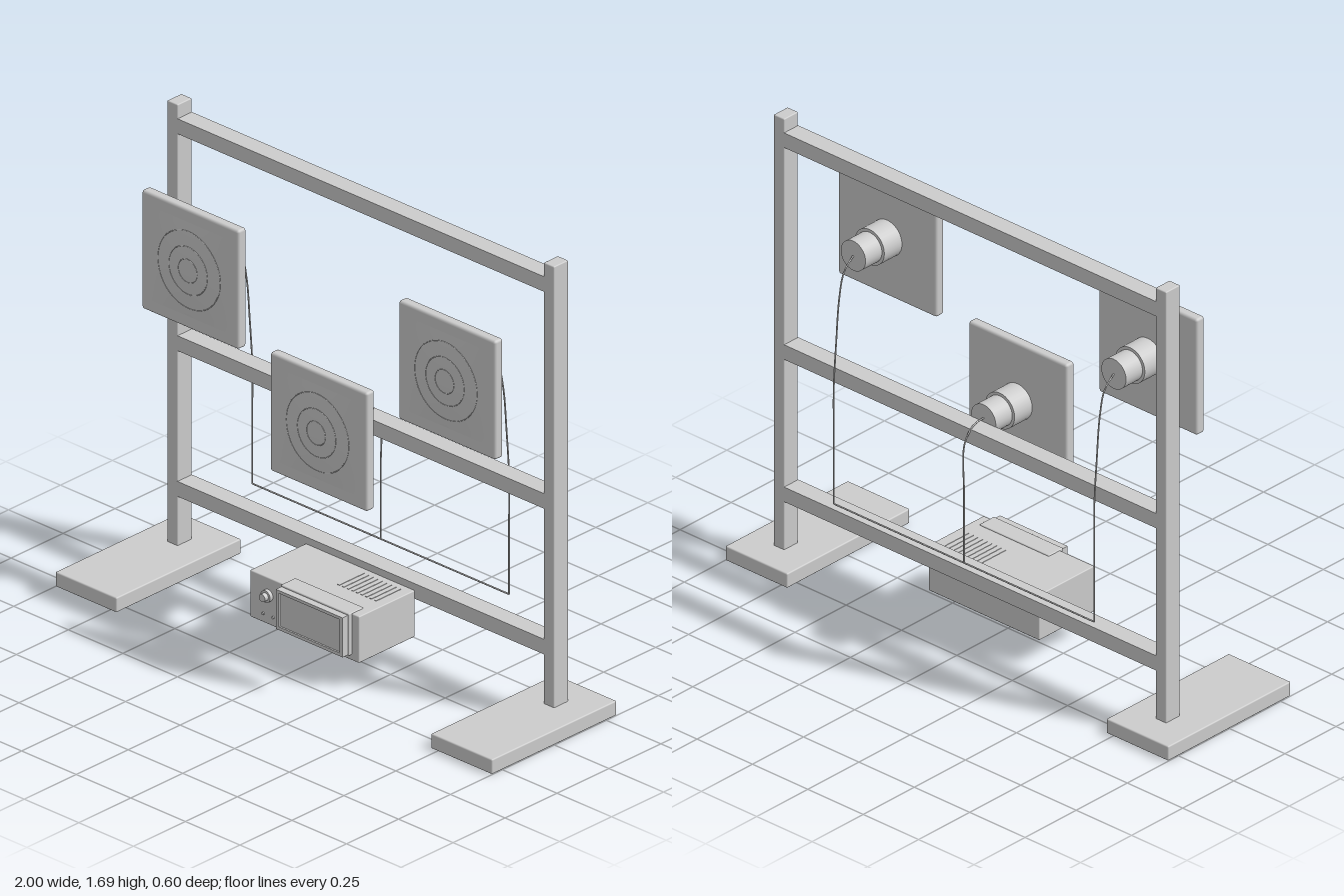
import * as THREE from 'three';
import { RoundedBoxGeometry } from 'three/addons/geometries/RoundedBoxGeometry.js';

const grey = new THREE.MeshStandardMaterial({ color: 0xcccccc });
grey.name = 'light grey';

function add(parent, name, geometry, x = 0, y = 0, z = 0) {
  const mesh = new THREE.Mesh(geometry, grey);
  mesh.name = name;
  mesh.position.set(x, y, z);
  parent.add(mesh);
  return mesh;
}

// Box given by its limits on each axis; optional rounded edges
function box(parent, name, [x0, x1], [y0, y1], [z0, z1], r = 0) {
  const s = [x1 - x0, y1 - y0, z1 - z0];
  const g = r ? new RoundedBoxGeometry(...s, 2, r) : new THREE.BoxGeometry(...s);
  return add(parent, name, g, (x0 + x1) / 2, (y0 + y1) / 2, (z0 + z1) / 2);
}

// Cylinder lying along z
function rod(parent, name, r, x, y, z0, z1) {
  const g = new THREE.CylinderGeometry(r, r, z1 - z0, 32).rotateX(Math.PI / 2);
  return add(parent, name, g, x, y, (z0 + z1) / 2);
}

// Shallow bulge of the grille
const HALF = 0.175;
const bulge = (x, y) => 0.012 * (1 - (x / HALF) ** 2) * (1 - (y / HALF) ** 2);

function domed(geometry) {
  const p = geometry.attributes.position;
  for (let i = 0; i < p.count; i++) p.setZ(i, p.getZ(i) + bulge(p.getX(i), p.getY(i)));
  geometry.computeVertexNormals();
  return geometry;
}

// Flat square speaker with a two-step driver behind it
function speaker(x, y) {
  const g = new THREE.Group();
  g.name = 'speaker';
  g.position.set(x, y, 0);
  box(g, 'speakerPanel', [-0.222, 0.222], [-0.221, 0.221], [0.046, 0.085], 0.01);
  add(g, 'speakerGrille', domed(new THREE.PlaneGeometry(2 * HALF, 2 * HALF, 16, 16)), 0, 0, 0.0852);
  for (const r of [0.043, 0.088, 0.143])
    add(g, 'grilleRing', domed(new THREE.TorusGeometry(r, 0.0015, 6, 48)), 0, 0, 0.085);
  rod(g, 'driverCan', 0.067, 0, 0, -0.04, 0.048);
  rod(g, 'driverMagnet', 0.056, 0, 0, -0.12, -0.038);
  return g;
}

function cable(parent, name, points) {
  const curve = new THREE.CatmullRomCurve3(points.map(p => new THREE.Vector3(...p)), false, 'centripetal');
  add(parent, name, new THREE.TubeGeometry(curve, 40, 0.003, 6));
}

export function createModel() {
  const model = new THREE.Group();
  model.name = 'speakerRack';

  // Stand
  const stand = new THREE.Group();
  stand.name = 'stand';
  model.add(stand);
  for (const s of [-1, 1]) {
    const span = (a, b) => [Math.min(s * a, s * b), Math.max(s * a, s * b)];
    box(stand, 'standFoot', span(0.72, 1), [0, 0.055], [-0.3, 0.3], 0.005);
    box(stand, 'post', span(0.838, 0.886), [0.05, 1.695], [-0.187, -0.118], 0.004);
  }
  for (const y of [0.266, 0.808, 1.615])
    box(stand, 'crossRail', [-0.845, 0.845], [y - 0.028, y + 0.028], [-0.187, -0.118]);

  // Speakers and their cables
  const low = 0.338, back = -0.215;
  for (const [x, y] of [[-0.588, 1.243], [0, 0.845], [0.588, 1.243]]) {
    model.add(speaker(x, y));
    const top = y > 1
      ? [[x, 1.243, -0.12], [x, 1.2, -0.165], [x, 1.11, -0.188], [x, 0.95, -0.203]]
      : [[x, 0.85, -0.12], [x, 0.846, -0.16], [x, 0.825, -0.19]];
    cable(model, 'speakerCable', [...top, [x, 0.78, back], [x, 0.6, back], [x, low, back]]);
  }
  cable(model, 'sharedCable', [[-0.588, low, back], [0, low, back], [0.588, low, back]]);

  // Amplifier hung below the lowest rail
  const amp = new THREE.Group();
  amp.name = 'amplifier';
  model.add(amp);
  box(amp, 'amplifierCase', [-0.25, 0.25], [0.097, 0.27], [-0.118, 0.152], 0.004);
  box(amp, 'displayHousing', [-0.096, 0.217], [0.117, 0.274], [0.095, 0.166], 0.004);

  // Display frame with a recessed screen
  const frame = new THREE.Shape();
  frame.moveTo(-0.092, 0.121).lineTo(0.213, 0.121).lineTo(0.213, 0.268).lineTo(-0.092, 0.268);
  const hole = new THREE.Path();
  hole.moveTo(-0.08, 0.133).lineTo(-0.08, 0.257).lineTo(0.198, 0.257).lineTo(0.198, 0.133);
  frame.holes.push(hole);
  add(amp, 'displayFrame', new THREE.ExtrudeGeometry(frame, { depth: 0.028, bevelEnabled: false }), 0, 0, 0.164);
  box(amp, 'screen', [-0.08, 0.198], [0.133, 0.257], [0.16, 0.186]);

  // Controls
  rod(amp, 'knobBase', 0.022, -0.166, 0.205, 0.15, 0.166);
  rod(amp, 'knob', 0.014, -0.166, 0.205, 0.164, 0.182);
  for (const x of [-0.187, -0.142]) rod(amp, 'button', 0.005, x, 0.131, 0.15, 0.157);

  // Vent strips and rubber feet
  for (let i = 0; i < 9; i++) {
    const x = 0.04 + i * 0.021;
    box(amp, 'ventStrip', [x - 0.004, x + 0.004], [0.268, 0.272], [-0.09, 0.03]);
  }
  for (const x of [-0.175, 0.175])
    for (const z of [-0.09, 0.093])
      add(amp, 'amplifierFoot', new THREE.CylinderGeometry(0.011, 0.011, 0.014, 16), x, 0.093, z);

  return model;
}
